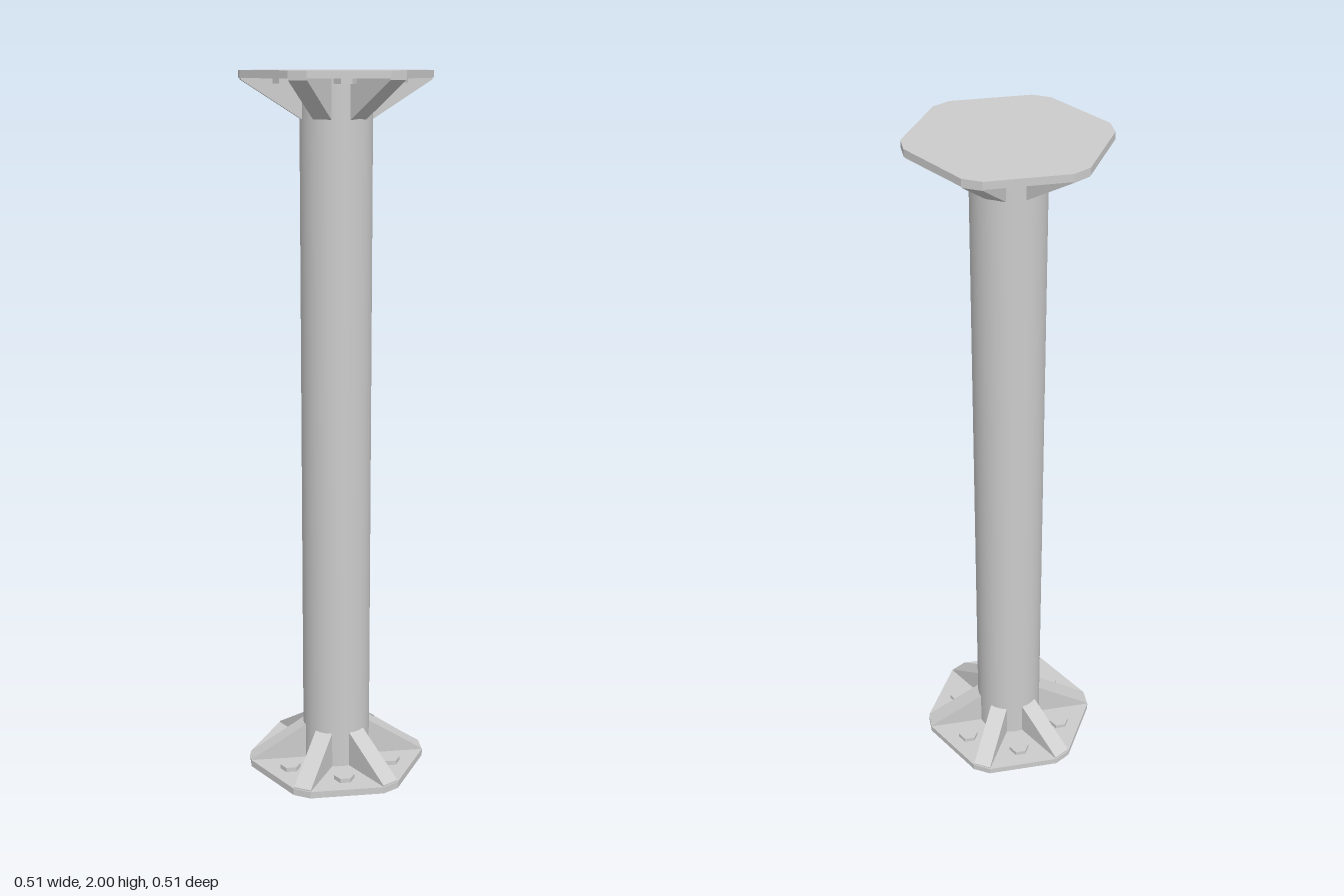
import * as THREE from 'three';

const R = 0.098;       // column radius
const PLATE = 0.02;    // plate thickness
const REACH = 0.257;   // distance from axis to the short plate edges
const HALF = 0.026;    // half width of ribs and short plate edges
const RIB_TOP = 0.125;
const START = Math.PI / 4;
const STEP = Math.PI / 3;

const metal = new THREE.MeshStandardMaterial({ color: 0xcccccc });
const flatMetal = new THREE.MeshStandardMaterial({ color: 0xcccccc, flatShading: true });

function add(parent, name, geometry, material = flatMetal) {
  const mesh = new THREE.Mesh(geometry, material);
  mesh.name = name;
  parent.add(mesh);
  return mesh;
}

// Six-armed plate: a short edge at the end of each rib
function plateGeometry() {
  const points = [];
  for (let i = 0; i < 6; i++) {
    const a = -START + i * STEP;
    for (const s of [-HALF, HALF]) {
      points.push(new THREE.Vector2(
        REACH * Math.cos(a) - s * Math.sin(a),
        REACH * Math.sin(a) + s * Math.cos(a)));
    }
  }
  return new THREE.ExtrudeGeometry(new THREE.Shape(points), { depth: PLATE, bevelEnabled: false })
    .rotateX(-Math.PI / 2);
}

// Sloping gusset from the column out to the plate edge
function ribGeometry() {
  const shape = new THREE.Shape([
    new THREE.Vector2(R - 0.015, PLATE),
    new THREE.Vector2(REACH - 0.003, PLATE),
    new THREE.Vector2(REACH - 0.003, PLATE + 0.004),
    new THREE.Vector2(R - 0.002, RIB_TOP),
    new THREE.Vector2(R - 0.015, RIB_TOP),
  ]);
  return new THREE.ExtrudeGeometry(shape, { depth: 2 * HALF, bevelEnabled: false })
    .translate(0, 0, -HALF);
}

// Plate, six ribs and a bolt between each pair of ribs
function createFlange(name) {
  const flange = new THREE.Group();
  flange.name = name;
  add(flange, 'plate', plateGeometry());
  const rib = ribGeometry();
  const bolt = new THREE.CylinderGeometry(0.03, 0.03, 0.014, 6)
    .translate(0.17, PLATE + 0.006, 0);
  for (let i = 0; i < 6; i++) {
    const a = START + i * STEP;
    add(flange, 'rib', rib).rotation.y = -a;
    add(flange, 'boltHead', bolt).rotation.y = -(a + STEP / 2);
  }
  return flange;
}

export function createModel() {
  const model = new THREE.Group();
  model.name = 'flangedColumn';

  // Round shaft between the plates
  add(model, 'column', new THREE.CylinderGeometry(R, R, 2 - 2 * PLATE, 48, 1, true), metal)
    .position.y = 1;

  // The top flange mirrors the bottom one
  model.add(createFlange('bottomFlange'));
  const top = createFlange('topFlange');
  top.scale.y = -1;
  top.position.y = 2;
  model.add(top);
  return model;
}
